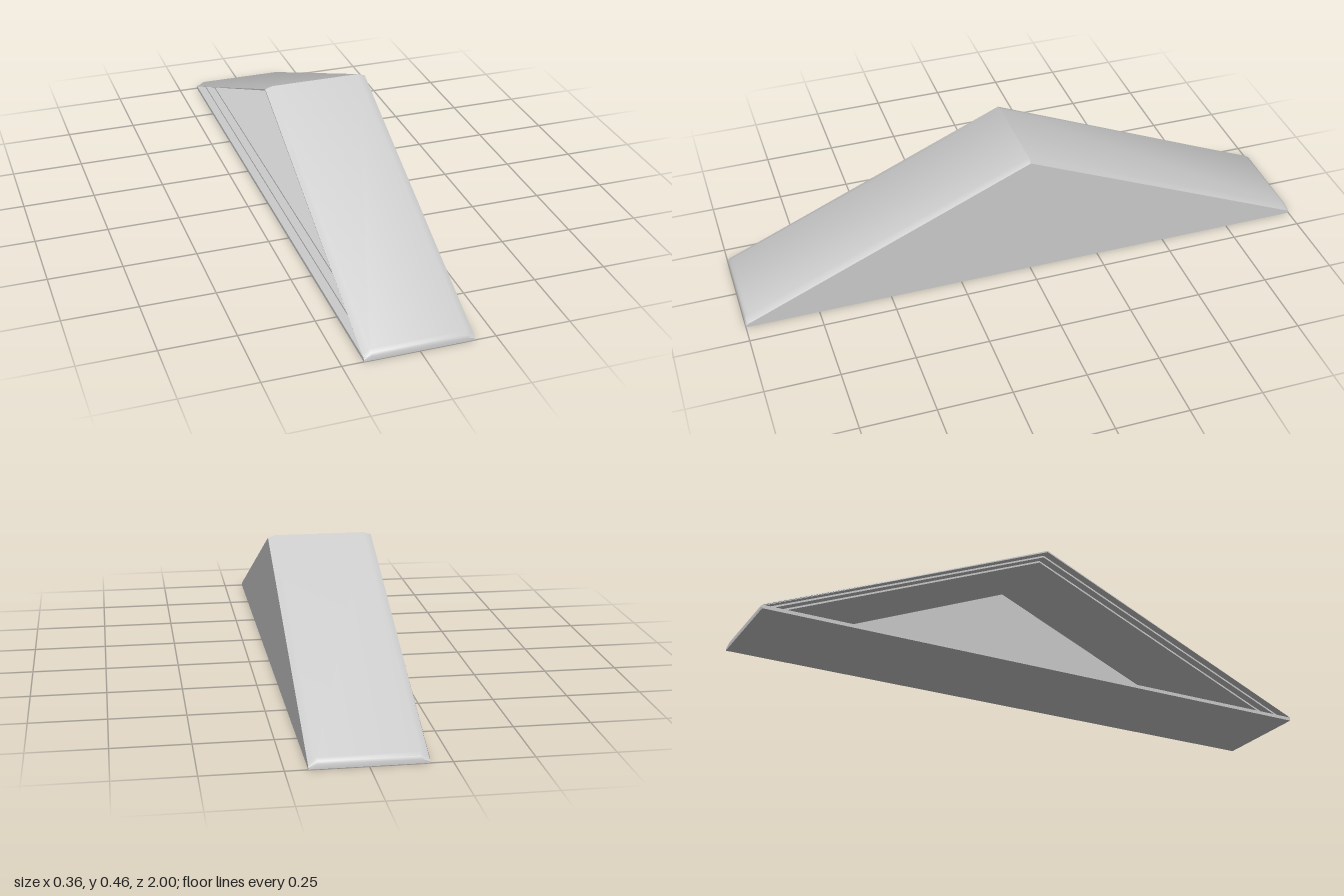
import * as THREE from 'three';
import { toCreasedNormals } from 'three/addons/utils/BufferGeometryUtils.js';

// Mirrors a front half outline of [z, y] points over the apex
const mirrored = (half, apex) => [...half, [0, apex], ...half.map(([z, y]) => [-z, y]).reverse()];

// Outer wedge outline with rounded tips, its top lowered by drop and more so at the tips
const outline = (drop) => mirrored([
  [1, 0],
  [1, 0.015 - 1.2 * drop],
  [0.996, 0.023 - 1.7 * drop],
  [0.985, 0.031 - 2 * drop],
], 0.455 - drop);

// Wedge outline inset by a wall thickness t
function pocket(t) {
  const apex = 0.455 - 1.09 * t;
  const tip = (apex - t) / 0.43;
  const onSlope = (f) => [tip * f, apex - 0.43 * tip * f];
  return mirrored([[tip - 0.002, t], onSlope(0.99), onSlope(0.97), onSlope(0.95)], apex);
}

// Joins [x, outline] sections running from +x, closing the first and last
function loft(sections) {
  const positions = [];
  const indices = [];
  const n = sections[0][1].length;
  for (const [x, points] of sections) {
    for (const [z, y] of points) positions.push(x, y, z);
  }
  for (let i = 0; i < sections.length - 1; i++) {
    for (let j = 0; j < n; j++) {
      const a = i * n + j;
      const b = i * n + (j + 1) % n;
      indices.push(a, b, a + n, b, b + n, a + n);
    }
  }
  const last = (sections.length - 1) * n;
  for (let j = 1; j < n - 1; j++) {
    indices.push(0, j + 1, j);
    indices.push(last, last + j, last + j + 1);
  }
  const geometry = new THREE.BufferGeometry();
  geometry.setAttribute('position', new THREE.Float32BufferAttribute(positions, 3));
  geometry.setIndex(indices);
  return toCreasedNormals(geometry, 0.6);
}

export function createModel() {
  const group = new THREE.Group();
  group.name = 'wedge';
  const material = new THREE.MeshStandardMaterial({ color: 0xcccccc });

  // Chamfered hollow wedge, open on its -x side with a stepped rim
  const body = new THREE.Mesh(loft([
    [0.18, outline(0.008)],
    [0.155, outline(0)],
    [-0.155, outline(0)],
    [-0.18, outline(0.008)],
    [-0.18, pocket(0.012)],
    [-0.15, pocket(0.012)],
    [-0.15, pocket(0.018)],
    [-0.12, pocket(0.018)],
    [-0.12, pocket(0.024)],
    [0.165, pocket(0.024)],
  ]), material);
  body.name = 'wedgeShell';
  group.add(body);
  return group;
}
